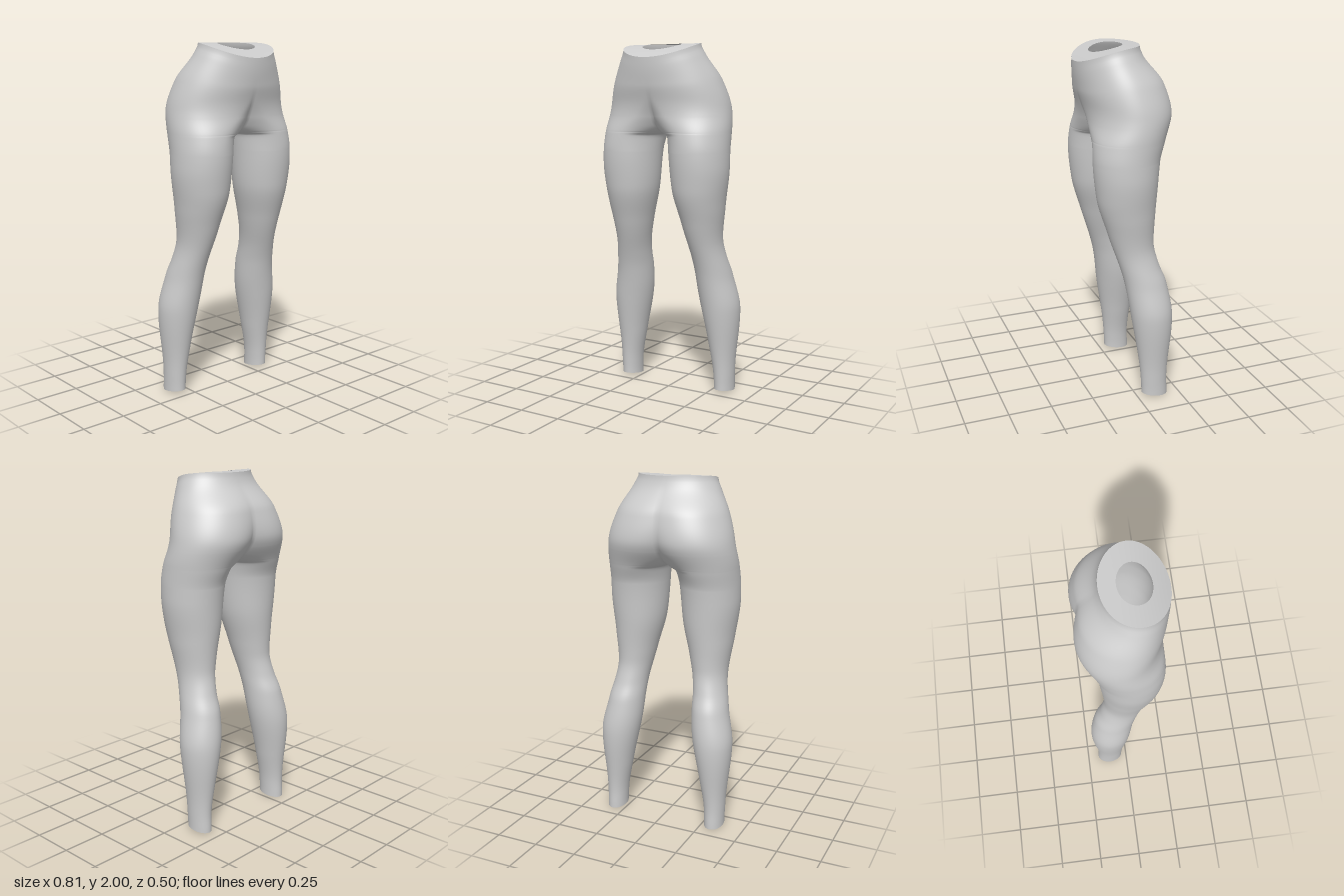
import * as THREE from 'three';
import { mergeGeometries, mergeVertices } from 'three/addons/utils/BufferGeometryUtils.js';

// Key points [height, value] of the curves that shape one half.
// A negative inner x means the section meets its mirror image at x = 0.
const outerX = [[0, 0.374], [0.15, 0.378], [0.5, 0.407], [0.7, 0.37], [0.9, 0.337], [1.1, 0.36],
  [1.33, 0.386], [1.52, 0.382], [1.66, 0.364], [1.8, 0.322], [1.94, 0.252], [2, 0.228]];
const innerX = [[0, 0.262], [0.1, 0.258], [0.3, 0.225], [0.6, 0.169], [0.8, 0.155], [1, 0.115], [1.2, 0.067],
  [1.47, 0.04], [1.495, 0.033], [1.51, 0], [1.55, -0.048], [1.66, -0.115], [1.9, -0.248], [2, -0.228]];
const frontZ = [[0, -0.03], [0.1, -0.027], [0.5, 0.025], [0.7, 0.055], [1, 0.145], [1.2, 0.2],
  [1.4, 0.217], [1.6, 0.206], [1.8, 0.238], [2, 0.25]];
const backZ = [[0, -0.184], [0.1, -0.18], [0.5, -0.213], [0.7, -0.184], [0.8, -0.146], [0.93, -0.119],
  [1.2, -0.136], [1.4, -0.153], [1.5, -0.186], [1.66, -0.246], [1.8, -0.216], [1.95, -0.118], [2, -0.105]];
// x of the foremost and rearmost point of the section, above the thighs
const frontPeakX = [[1.4, 0.216], [1.5, 0.193], [1.6, 0.1], [1.7, 0.035], [1.88, 0.003], [2, 0]];
const backPeakX = [[1.4, 0.216], [1.5, 0.193], [1.6, 0.144], [1.8, 0.085], [2, 0]];

// Monotone cubic interpolation along a curve
function sample(curve, y) {
  const last = curve.length - 1;
  const rise = j => (curve[j + 1][1] - curve[j][1]) / (curve[j + 1][0] - curve[j][0]);
  const slope = j => {
    if (j === 0 || j === last) return 0;
    const a = rise(j - 1), b = rise(j);
    return a * b <= 0 ? 0 : 2 * a * b / (a + b);
  };
  let i = 0;
  while (i < last - 1 && y > curve[i + 1][0]) i++;
  const [y0, v0] = curve[i], [y1, v1] = curve[i + 1];
  const h = y1 - y0, t = (y - y0) / h, t2 = t * t, t3 = t2 * t;
  return v0 * (2 * t3 - 3 * t2 + 1) + v1 * (3 * t2 - 2 * t3)
    + slope(i) * h * (t3 - 2 * t2 + t) + slope(i + 1) * h * (t3 - t2);
}

// The waist dips to the front, the hem rises a little to the front
function bend(x, y, z) {
  const top = THREE.MathUtils.smoothstep(y, 1.65, 2);
  const hem = 1 - THREE.MathUtils.smoothstep(y, 0, 0.12);
  const dip = Math.max(0, (z + 0.02) / 0.27) ** 2;
  return [Math.abs(x) < 1e-5 ? 0 : x, y - 0.08 * top * dip + 0.13 * hem * (z + 0.184), z];
}

// Half section from the back, round the outside, to the front
const N = 26;
function ring(y) {
  const [xi, xo, zf, zb] = [innerX, outerX, frontZ, backZ].map(c => sample(c, y));
  const peak = curve => y < 1.4 ? (xi + xo) / 2 : sample(curve, y);
  const pf = peak(frontPeakX), pb = peak(backPeakX);
  const zc = (zf + zb) / 2, points = [];
  for (let k = -N; k <= N; k++) {
    const p = k < 0 ? pb : pf;
    const end = xi < 0 ? Math.acos(-p / (p - xi)) : Math.PI;
    const a = end * Math.abs(k) / N, c = Math.cos(a);
    const x = p + (c > 0 ? xo - p : p - xi) * c;
    points.push([x, y, zc + (k < 0 ? zb - zc : zf - zc) * Math.sin(a)]);
  }
  return points;
}

// Shrink a ring towards a centre, for the flat rims
const shrink = (points, f, cx, cz) =>
  points.map(([x, y, z]) => [cx + (x - cx) * f, y, cz + (z - cz) * f]);

// Skin the rings of one half, mirror it and weld the two halves
function loft(rings) {
  const w = 2 * N + 1, halves = [];
  for (const side of [1, -1]) {
    const pos = [], index = [];
    rings.forEach(r => r.forEach(point => {
      const [x, y, z] = bend(...point);
      pos.push(x * side, y, z);
    }));
    for (let j = 0; j < rings.length - 1; j++) {
      for (let k = 0; k < w - 1; k++) {
        const a = j * w + k, b = a + w, c = a + 1, d = b + 1;
        if (side > 0) index.push(a, b, c, b, d, c);
        else index.push(a, c, b, b, c, d);
      }
    }
    const g = new THREE.BufferGeometry();
    g.setAttribute('position', new THREE.Float32BufferAttribute(pos, 3));
    g.setIndex(index);
    halves.push(g);
  }
  const whole = mergeVertices(mergeGeometries(halves), 1e-5);
  whole.computeVertexNormals();
  return whole;
}

export function createModel() {
  const group = new THREE.Group();
  group.name = 'leggings';
  const material = new THREE.MeshStandardMaterial({ color: 0xcccccc, side: THREE.DoubleSide });
  const add = (name, rings) => {
    const mesh = new THREE.Mesh(loft(rings), material);
    mesh.name = name;
    group.add(mesh);
  };

  // Fabric: both legs and the hips, with closer rings around the crotch
  const heights = [];
  for (let i = 0; i < 70; i++) heights.push(i / 50);
  for (let i = 0; i < 40; i++) heights.push((280 + i) / 200);
  for (let i = 0; i <= 25; i++) heights.push(1.6 + 0.4 * i / 25);
  add('legsAndHips', heights.map(ring));

  // Flat rims turned in at the waist and at both ankles
  const steps = [1, 0.9, 0.75, 0.6, 0.5];
  add('waistRim', steps.map(f => shrink(ring(2), f, 0, 0.072)));
  add('ankleRims', steps.slice().reverse().map(f => shrink(ring(0), f, 0.318, -0.107)));
  return group;
}
